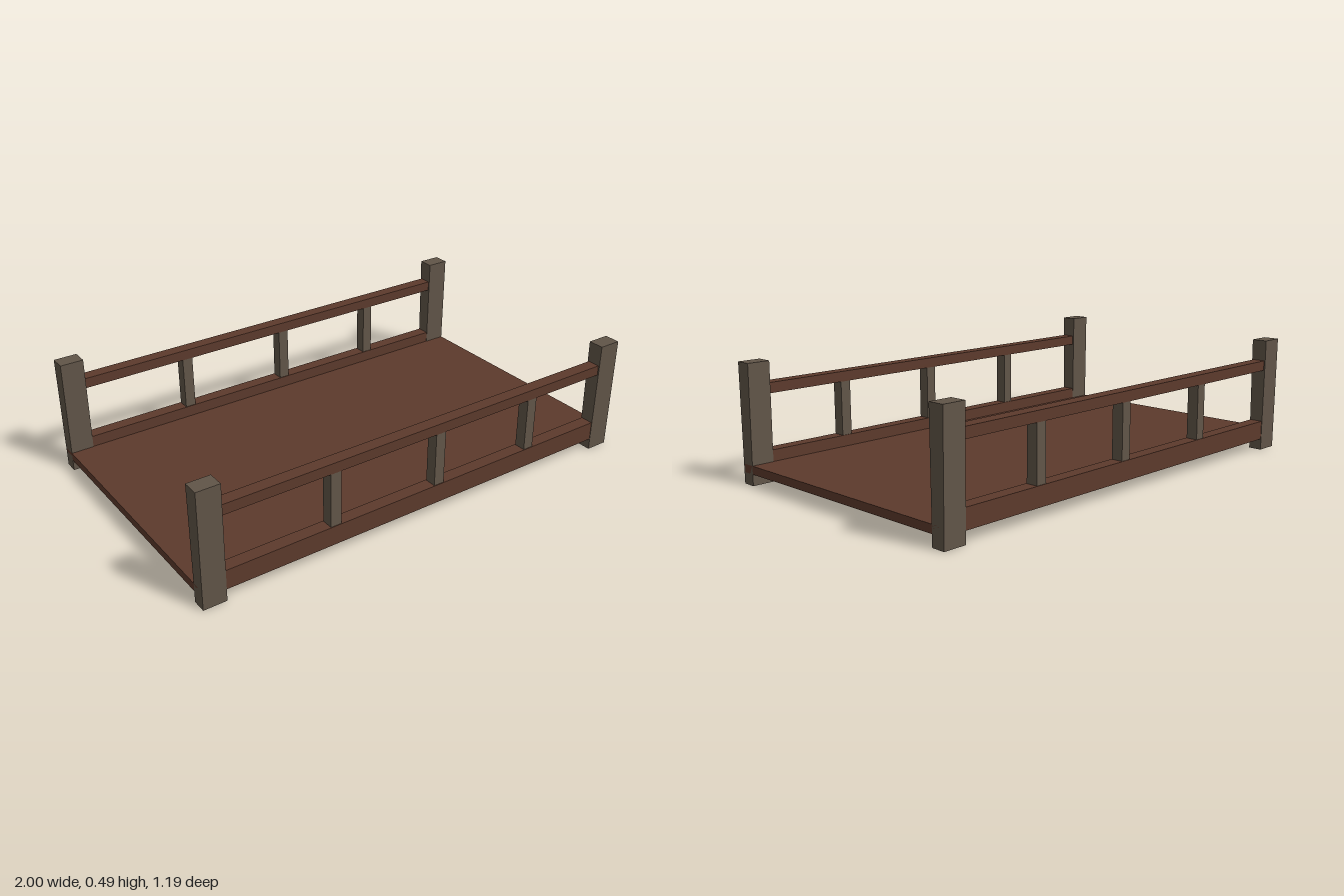
import * as THREE from 'three';

export function createModel() {
  const group = new THREE.Group();
  const brownWood = new THREE.MeshStandardMaterial({ color: 0x5c3a2c });
  const greyWood = new THREE.MeshStandardMaterial({ color: 0x615548 });
  brownWood.name = 'brownWood';
  greyWood.name = 'greyWood';

  // Box given by its lower and upper corners
  function box(name, material, [x0, y0, z0], [x1, y1, z1]) {
    const geometry = new THREE.BoxGeometry(x1 - x0, y1 - y0, z1 - z0);
    const mesh = new THREE.Mesh(geometry, material);
    mesh.position.set((x0 + x1) / 2, (y0 + y1) / 2, (z0 + z1) / 2);
    mesh.name = name;
    group.add(mesh);
    return mesh;
  }

  // Thin floor, open at both ends
  box('deck', brownWood, [-1, 0.048, -0.585], [1, 0.082, 0.585]);

  for (const side of [1, -1]) {
    const end = side > 0 ? 'front' : 'back';
    const z = side * 0.562;

    // Kerb beam and handrail between the corner posts
    box(end + 'Beam', brownWood, [-0.92, 0.049, z - 0.028], [0.92, 0.13, z + 0.028]);
    box(end + 'Handrail', brownWood, [-0.92, 0.36, z - 0.027], [0.92, 0.403, z + 0.027]);

    // Balusters
    for (const x of [-0.433, 0.057, 0.532]) {
      box(end + 'Baluster', greyWood, [x - 0.023, 0.12, z - 0.025], [x + 0.023, 0.37, z + 0.025]);
    }

    // Corner posts, slightly slimmer at the foot
    for (const x of [-0.952, 0.951]) {
      const post = box(end + 'Post', greyWood, [x - 0.048, 0, z - 0.034], [x + 0.049, 0.492, z + 0.034]);
      const p = post.geometry.attributes.position;
      for (let i = 0; i < p.count; i++) {
        if (p.getY(i) < 0) p.setZ(i, p.getZ(i) * 0.86);
      }
      post.geometry.computeVertexNormals();
    }
  }
  return group;
}
